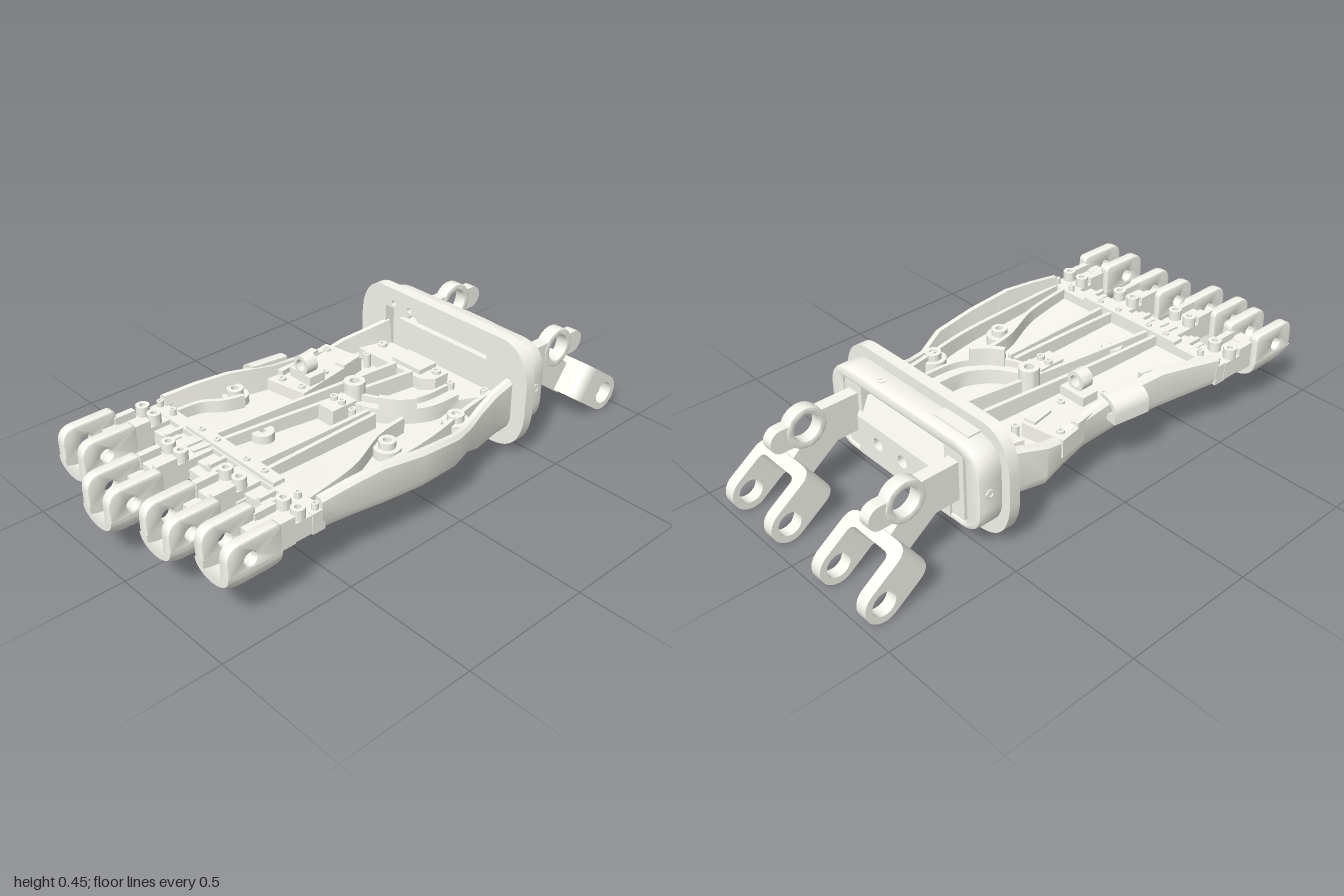
import * as THREE from 'three';
import { toCreasedNormals } from 'three/addons/utils/BufferGeometryUtils.js';

const material = new THREE.MeshStandardMaterial({ color: 0xf7f7ef });
const V2 = (x, y) => new THREE.Vector2(x, y);

export function createModel() {
  const model = new THREE.Group();

  const add = (name, geo, parent = model) => {
    const mesh = new THREE.Mesh(toCreasedNormals(geo, 0.5), material);
    mesh.name = name;
    parent.add(mesh);
    return mesh;
  };
  const box = (name, x0, x1, y0, y1, z0, z1, parent) =>
    add(name, new THREE.BoxGeometry(x1 - x0, y1 - y0, z1 - z0)
      .translate((x0 + x1) / 2, (y0 + y1) / 2, (z0 + z1) / 2), parent);
  const circle = (x, y, r) => new THREE.Path().absarc(x, y, r, 0, Math.PI * 2, true);
  const disc = (x, y, r, hole) => {
    const s = new THREE.Shape().absarc(x, y, r, 0, Math.PI * 2, false);
    if (hole) s.holes.push(circle(x, y, hole));
    return s;
  };
  const poly = (pts) => new THREE.Shape(pts.map((p) => V2(p[0], p[1])));
  const roundRect = (x0, x1, y0, y1, r, Type = THREE.Shape) => new Type()
    .moveTo(x0 + r, y0).lineTo(x1 - r, y0).quadraticCurveTo(x1, y0, x1, y0 + r)
    .lineTo(x1, y1 - r).quadraticCurveTo(x1, y1, x1 - r, y1)
    .lineTo(x0 + r, y1).quadraticCurveTo(x0, y1, x0, y1 - r)
    .lineTo(x0, y0 + r).quadraticCurveTo(x0, y0, x0 + r, y0);
  const extrude = (shape, depth, bevel = 0, steps = 1) => new THREE.ExtrudeGeometry(shape, {
    depth: depth - 2 * bevel, steps, curveSegments: 16, bevelEnabled: bevel > 0,
    bevelSize: bevel, bevelThickness: bevel, bevelOffset: -bevel, bevelSegments: 2,
  }).translate(0, 0, bevel);
  // side profile in (z, y), centred on x
  const sidePart = (name, shape, x, width, bevel, parent) =>
    add(name, extrude(shape, width, bevel).rotateY(-Math.PI / 2).translate(x + width / 2, 0, 0), parent);
  // plan profile in (x, z), between two heights
  const planPart = (name, shape, y0, y1, parent) =>
    add(name, extrude(shape, y1 - y0).rotateX(Math.PI / 2).translate(0, y1, 0), parent);
  // upright wall following a curve in plan
  const wall = (name, pts, width, y0, y1) => {
    const line = new THREE.SplineCurve(pts.map((p) => V2(p[0], p[1])));
    const left = [], right = [];
    for (let i = 0; i <= 20; i++) {
      const p = line.getPoint(i / 20), t = line.getTangent(i / 20);
      left.push([p.x - t.y * width / 2, p.y + t.x * width / 2]);
      right.unshift([p.x + t.y * width / 2, p.y - t.x * width / 2]);
    }
    planPart(name, poly([...left, ...right]), y0, y1);
  };
  const boss = (name, x, z, r, hole, y0, y1, parent) => planPart(name, disc(x, z, r, hole), y0, y1, parent);

  // Palm tray: channel section lofted along z
  // z, left, right, skirt bottom, floor, rim top
  const stations = [
    [-0.43, -0.32, 0.34, 0.12, 0.215, 0.31], [-0.33, -0.335, 0.35, 0.12, 0.215, 0.297],
    [-0.23, -0.36, 0.37, 0.12, 0.215, 0.277], [-0.15, -0.36, 0.395, 0.155, 0.215, 0.265],
    [-0.04, -0.345, 0.44, 0.17, 0.22, 0.29], [0.13, -0.345, 0.45, 0.175, 0.225, 0.31],
    [0.3, -0.375, 0.44, 0.185, 0.23, 0.332], [0.42, -0.405, 0.43, 0.195, 0.235, 0.325],
    [0.54, -0.43, 0.42, 0.2, 0.24, 0.312]];
  const section = ([, l, r, b, f, t]) => {
    const u = Math.max(f - 0.03, b);
    return [[l + 0.012, b], [l + 0.04, b], [l + 0.045, u], [r - 0.045, u], [r - 0.04, b], [r - 0.012, b],
      [r, b + 0.03], [r, t - 0.012], [r - 0.012, t], [r - 0.03, t], [r - 0.04, f], [l + 0.04, f],
      [l + 0.03, t], [l + 0.012, t], [l, t - 0.012], [l, b + 0.03]];
  };
  const rings = stations.map(section), n = rings[0].length, pos = [], idx = [];
  rings.forEach((ring, k) => ring.forEach(([x, y]) => pos.push(x, y, stations[k][0])));
  for (let k = 0; k < rings.length - 1; k++) {
    for (let i = 0; i < n; i++) {
      const a = k * n + i, b = k * n + (i + 1) % n;
      idx.push(a, b, b + n, a, b + n, a + n);
    }
  }
  const capAt = (k) => THREE.ShapeUtils.triangulateShape(rings[k].map((p) => V2(...p)), [])
    .map((f) => f.map((i) => i + k * n));
  capAt(0).forEach(([a, b, c]) => idx.push(a, c, b));
  capAt(rings.length - 1).forEach((f) => idx.push(...f));
  const tray = new THREE.BufferGeometry();
  tray.setAttribute('position', new THREE.Float32BufferAttribute(pos, 3));
  tray.setIndex(idx);
  add('palmTray', tray);

  // Rib grid following the underside of the palm
  const ribProfile = poly([...stations.map((s) => [s[0], s[4] - 0.044]), ...stations.map((s) => [s[0], s[4] - 0.02]).reverse()]);
  for (const x of [-0.22, -0.09, 0.05, 0.18, 0.28]) sidePart('undersideRibLong', ribProfile, x, 0.014, 0);
  for (const [z, , , , f] of stations.slice(1, 8)) box('undersideRibCross', -0.31, 0.33, f - 0.044, f - 0.02, z - 0.007, z + 0.007);

  // Front cross members
  box('frontCrossbar', -0.43, 0.42, 0.2, 0.275, 0.53, 0.58);
  box('frontCrossbarCap', -0.23, 0.23, 0.27, 0.29, 0.53, 0.575);
  box('frontLip', -0.36, 0.38, 0.2, 0.255, 0.58, 0.645);
  box('frontLipCentre', -0.21, 0.18, 0.2, 0.24, 0.64, 0.68);
  for (const x of [-0.25, -0.01, 0.24]) {
    box('lipWeb', x - 0.008, x + 0.008, 0.25, 0.275, 0.57, 0.645);
    box('lipWebFoot', x - 0.028, x + 0.028, 0.25, 0.26, 0.6, 0.645);
  }
  for (const x of [-0.41, -0.335, -0.17, -0.085, 0.07, 0.16, 0.32, 0.4]) boss('crossbarScrew', x, 0.553, 0.012, 0.006, 0.27, 0.298);

  // Tendon channels
  const channels = [
    [[-0.4, 0.53], [-0.385, 0.42], [-0.36, 0.34]], [[-0.345, 0.53], [-0.335, 0.44], [-0.29, 0.37], [-0.27, 0.3]],
    [[-0.145, 0.64], [-0.13, 0.4], [-0.11, 0.13], [-0.075, -0.25]],
    [[-0.105, 0.64], [-0.085, 0.45], [-0.045, 0.13], [0.01, -0.25]],
    [[0.09, 0.53], [0.097, 0.3], [0.1, 0.05]], [[0.14, 0.53], [0.135, 0.3], [0.13, 0.05]],
    [[0.345, 0.53], [0.31, 0.32], [0.235, 0.14], [0.215, 0.0]],
    [[0.385, 0.53], [0.375, 0.25], [0.36, 0.02], [0.32, -0.2], [0.3, -0.35]]];
  channels.forEach((pts) => wall('tendonChannelWall', pts, 0.016, 0.2, 0.28));
  wall('curvedGuide', [[-0.01, 0.03], [0.11, -0.02], [0.19, -0.13], [0.2, -0.25], [0.255, -0.36]], 0.075, 0.2, 0.255);
  wall('curvedGuideInnerLip', [[0.0, 0.0], [0.09, -0.05], [0.155, -0.14], [0.165, -0.27]], 0.014, 0.25, 0.28);
  wall('curvedGuideOuterLip', [[0.01, 0.06], [0.13, 0.01], [0.22, -0.11], [0.235, -0.25]], 0.014, 0.25, 0.28);
  wall('curvedGuideCrest', [[0.115, 0.015], [0.17, -0.025], [0.205, -0.075]], 0.022, 0.25, 0.325);

  // Screw bosses on the palm floor
  for (const [x, z] of [[0.325, -0.145], [0.285, 0.14], [-0.32, 0.3]]) {
    boss('palmBoss', x, z, 0.048, 0.018, 0.2, 0.26);
    boss('palmBossRing', x, z, 0.03, 0.014, 0.25, 0.285);
  }
  boss('floorTab', -0.06, 0.385, 0.04, 0.012, 0.2, 0.265);
  for (const [x, z] of [[0.27, -0.35], [0.155, -0.3], [-0.2, -0.225], [0.05, 0.08]]) boss('smallScrew', x, z, 0.014, 0.007, 0.22, 0.275);

  // Electronics mounts
  planPart('rearMount', poly([[-0.24, -0.355], [0.09, -0.355], [0.09, -0.29], [0.05, -0.25], [-0.27, -0.25]]), 0.2, 0.262);
  box('rearMountBlock', -0.11, 0.03, 0.25, 0.28, -0.355, -0.27);
  for (const x of [-0.22, 0.06]) boss('rearMountScrew', x, -0.325, 0.017, 0.008, 0.255, 0.275);
  const mount = new THREE.Group();
  mount.name = 'sideMount';
  mount.position.set(-0.255, 0, -0.02);
  mount.rotation.y = 0.17;
  model.add(mount);
  box('sideMountPlate', -0.085, 0.085, 0.2, 0.27, -0.165, 0.17, mount);
  box('sideMountStep', 0.04, 0.085, 0.265, 0.28, -0.15, -0.06, mount);
  box('sideMountStep', -0.085, -0.055, 0.265, 0.29, -0.08, 0.12, mount);
  for (const [x, z] of [[-0.05, -0.13], [0.05, 0.14], [-0.04, 0.14], [0.05, 0.01]]) boss('sideMountScrew', x, z, 0.014, 0.007, 0.265, 0.28, mount);
  box('eyeletBase', -0.275, -0.165, 0.26, 0.305, 0.015, 0.085);
  add('eyelet', extrude(disc(-0.215, 0.336, 0.037, 0.022), 0.05).translate(0, 0, 0.035));
  box('guideBlock', -0.035, 0.04, 0.2, 0.29, 0.05, 0.16);
  for (const x of [-0.02, 0.02]) boss('guideBlockScrew', x, 0.1, 0.014, 0.007, 0.285, 0.305);
  boss('guidePost', -0.025, 0.0, 0.038, 0.018, 0.2, 0.322);

  // Curved guard on the right edge
  const guard = new THREE.Shape().moveTo(-0.04, 0.235).lineTo(-0.04, 0.27)
    .quadraticCurveTo(-0.04, 0.325, 0.035, 0.325).lineTo(0.035, 0.31)
    .quadraticCurveTo(-0.025, 0.31, -0.025, 0.27).lineTo(0.02, 0.25).lineTo(0.02, 0.235);
  add('edgeGuard', extrude(guard, 0.145).rotateY(-0.14).translate(-0.35, 0, 0.058));

  // Finger knuckles: x, base height, body back, body front, screw z
  for (const [x, y0, zb, zf, zs] of [[-0.375, 0.14, 0.725, 0.93, 0.625], [-0.13, 0.11, 0.79, 0.995, 0.69],
    [0.115, 0.11, 0.75, 0.947, 0.645], [0.36, 0.14, 0.715, 0.917, 0.615]]) {
    const k = new THREE.Group();
    k.name = 'knuckle';
    k.position.set(x, y0, 0);
    model.add(k);
    const bowl = new THREE.Shape().moveTo(-0.08, 0.085).absarc(0, 0.08, 0.08, Math.PI, Math.PI * 2, false)
      .lineTo(0.08, 0.085).lineTo(0.04, 0.085).lineTo(0.04, 0.045).lineTo(-0.04, 0.045).lineTo(-0.04, 0.085);
    const geo = extrude(bowl, zf - zb, 0, 14).translate(0, 0, zb);
    const p = geo.attributes.position;
    for (let i = 0; i < p.count; i++) { // round the lower nose and tail
      const z = p.getZ(i), y = p.getY(i);
      const t = Math.max(0, (z - zf + 0.07) / 0.07, (zb + 0.03 - z) / 0.06);
      if (y < 0.08) p.setY(i, 0.08 + (y - 0.08) * Math.sqrt(1 - 0.6 * t * t));
    }
    add('knuckleBowl', geo, k);
    const r = 0.055, top = 0.187;
    const cheek = new THREE.Shape().moveTo(zb, 0.075).lineTo(zf, 0.075).lineTo(zf, top - r)
      .quadraticCurveTo(zf, top, zf - r, top).lineTo(zb + 0.02, top).quadraticCurveTo(zb, top, zb, top - 0.02);
    cheek.holes.push(circle((zb + zf) / 2 + 0.015, 0.115, 0.024));
    for (const s of [-1, 1]) {
      sidePart('knuckleCheek', cheek, s * 0.06, 0.04, 0.007, k);
      boss('knuckleScrew', s * 0.034, zs, 0.024, 0.011, 0.27 - y0, 0.31 - y0, k);
      box('stemSide', s * 0.045 - 0.012, s * 0.045 + 0.012, 0.2 - y0, 0.3 - y0, zs + 0.03, zb + 0.01, k);
    }
    box('knuckleStem', -0.057, 0.057, 0.205 - y0, 0.272 - y0, 0.575, zb + 0.005, k);
    box('knuckleWeb', -0.045, 0.045, 0.04, 0.135, zb, zb + 0.06, k);
    box('knuckleStop', -0.045, 0.045, 0.04, 0.08, zb + 0.05, zf - 0.06, k);
  }

  // Wrist flange with window, slot and screw holes
  const flange = new THREE.Shape().moveTo(-0.43, 0.3).lineTo(-0.43, 0.19)
    .bezierCurveTo(-0.42, 0.08, -0.37, 0.03, -0.28, 0.025).quadraticCurveTo(-0.01, 0.0, 0.26, 0.025)
    .bezierCurveTo(0.35, 0.03, 0.4, 0.08, 0.405, 0.19).lineTo(0.405, 0.3)
    .bezierCurveTo(0.4, 0.4, 0.35, 0.455, 0.28, 0.455).lineTo(-0.31, 0.455).bezierCurveTo(-0.38, 0.455, -0.425, 0.4, -0.43, 0.3);
  flange.holes.push(new THREE.Path([[-0.3, 0.19], [0.215, 0.19], [0.215, 0.362], [-0.13, 0.362], [-0.14, 0.375], [-0.3, 0.375]].map((p) => V2(...p))));
  flange.holes.push(new THREE.Path().moveTo(-0.2, 0.1).lineTo(0.235, 0.1).lineTo(0.235, 0.05).quadraticCurveTo(0.02, 0.035, -0.2, 0.05));
  for (const [x, y, r] of [[-0.258, 0.395, 0.011], [-0.175, 0.395, 0.011], [-0.25, 0.083, 0.016], [0.28, 0.083, 0.016]]) flange.holes.push(circle(x, y, r));
  add('wristFlange', extrude(flange, 0.043).translate(0, 0, -0.46));

  // Wrist housing behind the flange
  const housing = roundRect(-0.395, 0.372, 0.09, 0.415, 0.11);
  housing.holes.push(roundRect(-0.325, 0.3, 0.115, 0.372, 0.03, THREE.Path));
  add('wristHousing', extrude(housing, 0.1, 0.012).translate(0, 0, -0.552));
  // Mounting block with three sockets and a sloped top
  const face = poly([[-0.25, 0.1], [0.23, 0.1], [0.23, 0.25], [-0.25, 0.25]]);
  for (const x of [-0.14, -0.01, 0.12]) face.holes.push(circle(x, 0.185, 0.024));
  add('wristBlockFace', extrude(face, 0.05).translate(0, 0, -0.554));
  sidePart('wristBlock', poly([[-0.44, 0.1], [-0.51, 0.1], [-0.51, 0.25], [-0.554, 0.25], [-0.52, 0.328], [-0.44, 0.328]]), -0.01, 0.48, 0);
  box('housingTopStep', -0.3, -0.13, 0.405, 0.42, -0.51, -0.46);
  boss('housingTopScrew', 0.135, -0.51, 0.016, 0.008, 0.4, 0.418);
  for (const s of [-1, 1]) sidePart('housingSideScrew', disc(-0.51, 0.255, 0.018, 0.009), s * 0.375 - 0.012, 0.025, 0);

  // Wrist arms and rear yokes
  for (const [x, yokeX] of [[-0.266, -0.2575], [0.252, 0.238]]) {
    const arm = new THREE.Group();
    arm.name = 'wristArm';
    model.add(arm);
    box('armRoot', x - 0.045, x + 0.045, 0.115, 0.37, -0.545, -0.46, arm);
    sidePart('armBar', poly([[-0.5, 0.19], [-0.645, 0.19], [-0.71, 0.235], [-0.69, 0.27], [-0.69, 0.31], [-0.7, 0.337], [-0.5, 0.337]]), x, 0.047, 0, arm);
    sidePart('armEar', disc(-0.75, 0.293, 0.076, 0.05), x, 0.05, 0.004, arm);
    sidePart('armLobe', poly([[-0.806, 0.24], [-0.85, 0.24], [-0.85, 0.328], [-0.806, 0.328]]), x, 0.044, 0, arm);
    sidePart('armLobeTip', disc(-0.846, 0.284, 0.044), x, 0.044, 0, arm);
    sidePart('yokeStem', poly([[-0.64, 0.19], [-0.775, 0.09], [-0.83, 0.19], [-0.78, 0.235], [-0.71, 0.24]]), x, 0.047, 0, arm);

    // U-shaped yoke, cut from a plan profile and tipped down
    const yoke = new THREE.Group();
    yoke.name = 'rearYoke';
    yoke.position.set(yokeX, 0.07, -0.93);
    yoke.rotation.x = -0.62;
    model.add(yoke);
    const bow = new THREE.Shape().moveTo(-0.1375, 0.04).lineTo(-0.0925, 0.04).lineTo(-0.0925, 0.1)
      .quadraticCurveTo(-0.0925, 0.125, -0.067, 0.125).lineTo(0.067, 0.125).quadraticCurveTo(0.0925, 0.125, 0.0925, 0.1)
      .lineTo(0.0925, 0.04).lineTo(0.1375, 0.04).lineTo(0.1375, 0.12).quadraticCurveTo(0.1375, 0.172, 0.087, 0.172)
      .lineTo(-0.087, 0.172).quadraticCurveTo(-0.1375, 0.172, -0.1375, 0.12);
    planPart('yokeBow', bow, -0.069, 0.069, yoke);
    const lug = new THREE.Shape().moveTo(0.05, -0.069).lineTo(0.05, 0.069).lineTo(0, 0.069)
      .absarc(0, 0, 0.069, Math.PI / 2, Math.PI * 1.5, false);
    lug.holes.push(circle(0, 0, 0.044));
    for (const s of [-1, 1]) sidePart('yokeLug', lug, s * 0.115, 0.045, 0, yoke);
  }
  return model;
}
